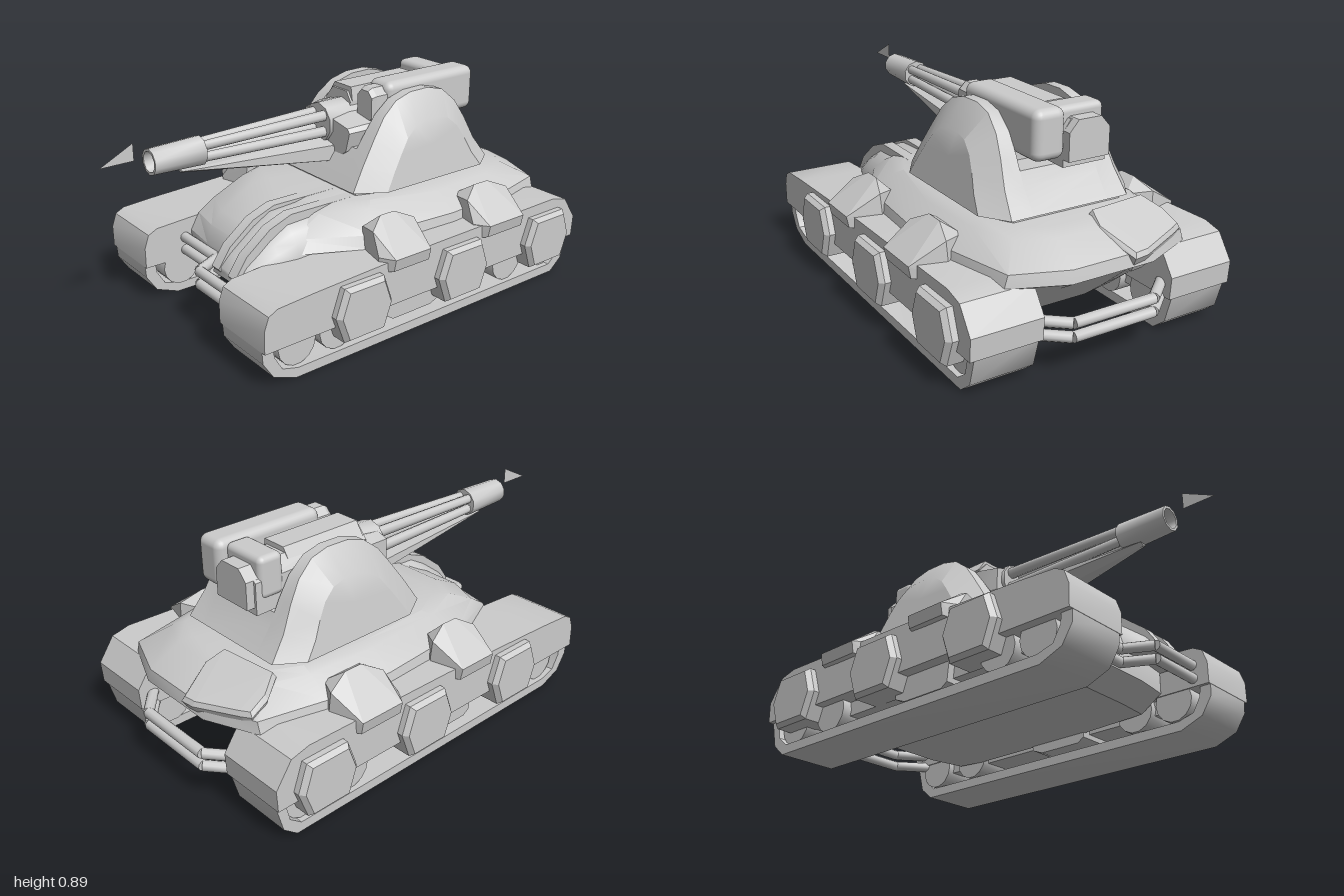
import * as THREE from 'three';
import { toCreasedNormals } from 'three/addons/utils/BufferGeometryUtils.js';
import { RoundedBoxGeometry } from 'three/addons/geometries/RoundedBoxGeometry.js';
import { ConvexGeometry } from 'three/addons/geometries/ConvexGeometry.js';

const grey = new THREE.MeshStandardMaterial({ color: 0xcccccc });
const V = (p) => new THREE.Vector3(...p);

export function createModel() {
  const root = new THREE.Group();
  const add = (name, geo, x = 0, y = 0, z = 0) => {
    const m = new THREE.Mesh(geo, grey);
    m.name = name;
    m.position.set(x, y, z);
    root.add(m);
    return m;
  };
  // convex faceted block around a few corners
  const block = (name, pts) => add(name, new ConvexGeometry(pts.map(V)));
  // straight round bar between two points
  const rod = (name, a, b, r, r2 = r, sides = 10) => {
    const d = V(b).sub(V(a));
    const g = new THREE.CylinderGeometry(r2, r, d.length(), sides);
    const m = add(name, toCreasedNormals(g, 0.8));
    m.position.copy(V(a)).addScaledVector(d, 0.5);
    m.quaternion.setFromUnitVectors(new THREE.Vector3(0, 1, 0), d.normalize());
  };
  const bar = (name, pts, r) => pts.slice(1).forEach((p, i) => rod(name, pts[i], p, r));
  // side profile of [z, y] points, extruded from x0 to x1; a hole runs the opposite way round
  const slab = (name, pts, x0, x1, hole) => {
    const s = new THREE.Shape(pts.map((p) => new THREE.Vector2(...p)));
    if (hole) s.holes.push(new THREE.Path(hole.map((p) => new THREE.Vector2(...p))));
    const g = new THREE.ExtrudeGeometry(s, { depth: x1 - x0, bevelEnabled: false });
    add(name, toCreasedNormals(g, 0.62), x1).rotation.y = -Math.PI / 2;
  };
  // closed skin through matching rings, capped at both ends
  const loft = (name, rings, crease = 0.6) => {
    const n = rings[0].length, pos = rings.flat(), idx = [];
    for (let i = 0; i < rings.length - 1; i++)
      for (let j = 0; j < n; j++) {
        const a = i * n + j, b = i * n + ((j + 1) % n);
        idx.push(a, b, a + n, b, b + n, a + n);
      }
    [0, rings.length - 1].forEach((r, e) => {
      const c = pos.length;
      pos.push([0, 1, 2].map((k) => rings[r].reduce((s, p) => s + p[k], 0) / n));
      for (let j = 0; j < n; j++) {
        const a = r * n + j, b = r * n + ((j + 1) % n);
        idx.push(...(e ? [a, b, c] : [b, a, c]));
      }
    });
    // turn the faces outward if the rings ran the other way
    let vol = 0;
    for (let i = 0; i < idx.length; i += 3)
      vol += V(pos[idx[i]]).dot(V(pos[idx[i + 1]]).cross(V(pos[idx[i + 2]])));
    if (vol < 0) idx.reverse();
    const g = new THREE.BufferGeometry();
    g.setAttribute('position', new THREE.Float32BufferAttribute(pos.flat(), 3));
    g.setIndex(idx);
    add(name, toCreasedNormals(g, crease));
  };

  // hull: stacked half outlines [x, z], mirrored; the belly ramps up at both ends
  const layer = (y, half) => [
    ...half.map(([x, z]) => [x, y, z]),
    ...half.slice().reverse().map(([x, z]) => [-x, y, z]),
  ];
  loft('hull', [
    layer(0.1, [[0.12, 0.42], [0.27, 0.41], [0.29, 0.1], [0.29, -0.3], [0.29, -0.5], [0.27, -0.62], [0.12, -0.65]]),
    layer(0.17, [[0.12, 0.52], [0.28, 0.5], [0.3, 0.1], [0.3, -0.3], [0.3, -0.55], [0.28, -0.7], [0.14, -0.73]]),
    layer(0.28, [[0.12, 0.52], [0.28, 0.5], [0.3, 0.1], [0.3, -0.3], [0.3, -0.6], [0.3, -0.8], [0.15, -0.85]]),
    layer(0.35, [[0.13, 0.49], [0.28, 0.46], [0.45, 0.12], [0.48, -0.3], [0.46, -0.6], [0.4, -0.87], [0.18, -0.96]]),
    layer(0.4, [[0.13, 0.44], [0.28, 0.38], [0.44, 0.1], [0.47, -0.3], [0.45, -0.6], [0.385, -0.87], [0.17, -0.95]]),
    layer(0.47, [[0.14, 0.3], [0.27, 0.24], [0.35, 0.05], [0.38, -0.3], [0.36, -0.6], [0.3, -0.76], [0.16, -0.83]]),
    layer(0.49, [[0.14, 0.2], [0.25, 0.16], [0.32, 0.02], [0.34, -0.3], [0.32, -0.6], [0.26, -0.72], [0.14, -0.77]]),
  ], 0.5);

  // rounded engine bulge on the left front, with two ribs
  loft('frontBulge', [
    [0.615, 0.08, 0.3], [0.57, 0.13, 0.345], [0.46, 0.16, 0.43], [0.38, 0.175, 0.475], [0.1, 0.175, 0.49],
  ].map(([z, w, top]) => Array.from({ length: 13 }, (_, i) => {
    const a = (Math.PI * i) / 12;
    return [0.16 + w * Math.cos(a), 0.26 + (top - 0.26) * Math.pow(Math.sin(a), 0.7), z];
  })), 0.9);
  for (const x of [0.085, 0.2])
    slab('bulgeRib', [[0.05, 0.4], [0.05, 0.49], [0.36, 0.492], [0.46, 0.455], [0.57, 0.37], [0.625, 0.29], [0.6, 0.26], [0.5, 0.27]], x, x + 0.05);

  // guard bars
  for (const y of [0.252, 0.195])
    bar('frontGuardBar', [[-0.3, y, 0.53], [-0.03, y, 0.53], [0.03, y, 0.65], [0.3, y, 0.65]], 0.022);
  for (const y of [0.21, 0.155])
    bar('rearGuardBar', [[-0.32, y, -0.86], [-0.18, y, -0.975], [0.18, y, -0.975], [0.32, y, -0.86]], 0.022);

  // slanted hatch at the rear right
  const hatch = [[-0.37, -0.88], [-0.36, -0.8], [-0.31, -0.72], [-0.04, -0.75], [-0.02, -0.83], [-0.08, -0.98], [-0.14, -0.975], [-0.33, -0.9]];
  block('rearHatch', hatch.flatMap(([x, z]) => {
    const y = 0.52 + (z + 0.72) * 0.42 - Math.max(0, -x - 0.2) * 0.12;
    return [[-0.2 + (x + 0.2) * 0.93, y, -0.85 + (z + 0.85) * 0.92], [x, y - 0.02, z], [-0.2 + (x + 0.2) * 0.85, y - 0.09, -0.83 + (z + 0.83) * 0.7]];
  }));

  for (const s of [1, -1]) {
    const span = (a, b) => (s > 0 ? [a, b] : [-b, -a]);
    // track belt, recessed suspension beam and wheels
    slab('track', [[0.72, 0.18], [0.715, 0.11], [0.67, 0.04], [0.57, 0], [-0.85, 0], [-0.91, 0.05], [-0.945, 0.18]],
      ...span(0.3, 0.56),
      [[-0.9, 0.165], [-0.88, 0.08], [-0.83, 0.04], [0.56, 0.04], [0.63, 0.06], [0.665, 0.12], [0.67, 0.165]]);
    slab('suspensionBeam', [[0.62, 0.2], [0.6, 0.1], [-0.82, 0.1], [-0.86, 0.2]], ...span(0.32, 0.5));
    for (const z of [0.55, 0.36, -0.57, -0.8])
      rod('roadWheel', [s * 0.29, 0.125, z], [s * 0.54, 0.125, z], 0.085, 0.085, 14);
    slab('centreSupport', [[0.11, 0.18], [0.1, 0.08], [0.07, 0.06], [-0.13, 0.06], [-0.18, 0.08], [-0.2, 0.18]], ...span(0.28, 0.53));
    slab('fender', [[0.72, 0.16], [0.72, 0.25], [0.7, 0.305], [0.66, 0.325], [0.5, 0.335], [-0.1, 0.36], [-0.8, 0.37], [-0.88, 0.35], [-0.95, 0.25], [-0.945, 0.16]],
      ...span(0.285, 0.58));

    // hexagonal side hubs with a bevelled face
    for (const z of [0.285, -0.235, -0.74]) {
      const hex = (x, k) => [[0.135, 0], [0.095, 0.112], [-0.095, 0.112], [-0.135, 0], [-0.095, -0.112], [0.095, -0.112]]
        .map(([u, v]) => [s * x, 0.21 + v * k, z + u * k]);
      loft('sideHub', [hex(0.5, 1), hex(0.605, 1), hex(0.625, 0.87)], 0.2);
    }
    // faceted armour pads above the fender: inner ridge, outward slope, six-cornered plan
    for (const [z, top, w, inner] of [[0.045, 0.483, 1, 0.405], [-0.475, 0.485, 1.1, 0.38]])
      block('armourPad', [
        [0.45, top, 0.035], [0.45, top, -0.035], [inner, 0.435, 0.085], [inner, 0.435, -0.075],
        [0.49, 0.445, 0.105], [0.475, 0.445, -0.12], [0.55, 0.365, 0.125], [0.47, 0.365, -0.125],
        [0.61, 0.365, 0.09], [0.61, 0.365, -0.09], [0.6, 0.315, 0.09], [0.6, 0.315, -0.09],
        [inner, 0.35, 0.09], [inner, 0.35, -0.08], [0.54, 0.3, 0.125], [0.47, 0.3, -0.125],
      ].map(([x, y, d]) => [s * x, y, z + d * w]));

    // turret cheek: full arch inside, sloping rim, flat arched panel outside
    const arch = [[0.06, 0.505], [0, 0.6], [-0.07, 0.7], [-0.13, 0.78], [-0.2, 0.835], [-0.28, 0.858], [-0.38, 0.86],
      [-0.46, 0.84], [-0.53, 0.78], [-0.58, 0.7], [-0.63, 0.6], [-0.7, 0.505]];
    const ring = (xTop, xLow, kz, ky) => arch.map(([z, y]) =>
      [s * (xLow + ((xTop - xLow) * (y - 0.505)) / 0.355), 0.505 + (y - 0.505) * ky, -0.34 + (z + 0.34) * kz]);
    loft('turretCheek', [ring(0.165, 0.165, 1, 1), ring(0.21, 0.26, 1, 1), ring(0.29, 0.335, 0.7, 0.7)], 0.5);
  }

  // turret base and slot floor
  const ringPts = [[0.25, 0.04], [0.3, -0.1], [0.3, -0.58], [0.24, -0.68]];
  loft('turretRing', [layer(0.47, ringPts), layer(0.51, ringPts)]);
  slab('turretFloor', [[0.06, 0.505], [0, 0.6], [-0.035, 0.65], [-0.605, 0.65], [-0.63, 0.6], [-0.7, 0.505]], -0.166, 0.166);

  // gun mount
  const mount = [[-0.165, 0.77], [-0.165, 0.66], [-0.13, 0.6], [-0.06, 0.57], [0.07, 0.57], [0.14, 0.63], [0.165, 0.72], [0.15, 0.74], [-0.11, 0.79]];
  loft('gunMantlet', [mount.map(([x, y]) => [x, y, -0.5]), mount.map(([x, y]) => [x, y, -0.1]),
    mount.map(([x, y]) => [x * 0.9, 0.66 + (y - 0.66) * 0.9, -0.01])], 0.3);
  block('gunHousing', [[-0.16, 0.66], [0.03, 0.66], [0.03, 0.8], [0, 0.84], [-0.11, 0.84], [-0.16, 0.79]]
    .flatMap(([x, y]) => [[x, y, -0.68], [-0.05 + (x + 0.05) * 0.85, y, -0.12]]));
  block('housingStep', [[-0.14, 0.8], [0.02, 0.8], [0.01, 0.86], [-0.1, 0.86]]
    .flatMap(([x, y]) => [[x, y, -0.5], [x, y, -0.13]]));
  block('gunRearBlock', [[-0.15, 0.69], [0.03, 0.69], [0.03, 0.8], [-0.01, 0.845], [-0.11, 0.845], [-0.15, 0.8]]
    .flatMap(([x, y]) => [[x, y, -0.715], [x, y, -0.55]]));
  add('crossTube', new RoundedBoxGeometry(0.21, 0.17, 0.11, 3, 0.025), -0.06, 0.797, -0.605);
  block('gunCradle', [[-0.06, 0.66, 0.67], [-0.02, 0.66, 0.67], [-0.04, 0.65, 0.67], [-0.13, 0.655, 0], [0.05, 0.64, 0],
    [-0.06, 0.585, 0], [0.06, 0.565, -0.08], [-0.06, 0.565, -0.08], [-0.14, 0.61, -0.08], [-0.04, 0.66, -0.1]]);

  // barrel cluster
  const gx = -0.04, gy = 0.722;
  rod('gunCollar', [gx, gy, -0.16], [gx, gy, 0.005], 0.088, 0.084);
  for (let i = 0; i < 4; i++) {
    const a = Math.PI * (0.25 + i / 2), c = Math.cos(a), d = Math.sin(a);
    rod('barrel', [gx + c * 0.05, gy + d * 0.05, -0.02], [gx + c * 0.032, gy + d * 0.032, 0.6], 0.024, 0.02, 8);
  }
  // hollow muzzle sleeve
  const sleeve = new THREE.LatheGeometry([[0, 0], [0.06, 0], [0.053, 0.22], [0.042, 0.22], [0.04, 0.12], [0, 0.12]]
    .map((p) => new THREE.Vector2(...p)), 10);
  add('muzzle', toCreasedNormals(sleeve, 0.7), gx, gy, 0.58).rotation.x = Math.PI / 2;

  // launcher pod beside the gun
  add('launcherPod', new RoundedBoxGeometry(0.135, 0.195, 0.5, 3, 0.035), 0.098, 0.797, -0.45);
  const oct = (k, z) => [[0.025, 0.08], [0.054, 0.05], [0.054, -0.05], [0.025, -0.08], [-0.025, -0.08], [-0.054, -0.05], [-0.054, 0.05], [-0.025, 0.08]]
    .map(([x, y]) => [0.098 + x * k, 0.797 + y * k, z]);
  loft('launcherNose', [oct(1, -0.25), oct(1, -0.15), oct(0.85, -0.13)], 0.3);

  // thin triangular marker ahead of the muzzle
  const tri = new THREE.BufferGeometry().setFromPoints([[gx, 0.74, 1], [gx, 0.74, 0.86], [gx, 0.81, 0.86]].map(V));
  tri.computeVertexNormals();
  add('muzzleMarker', tri).material = new THREE.MeshStandardMaterial({ color: 0xcccccc, side: THREE.DoubleSide });

  return root;
}
